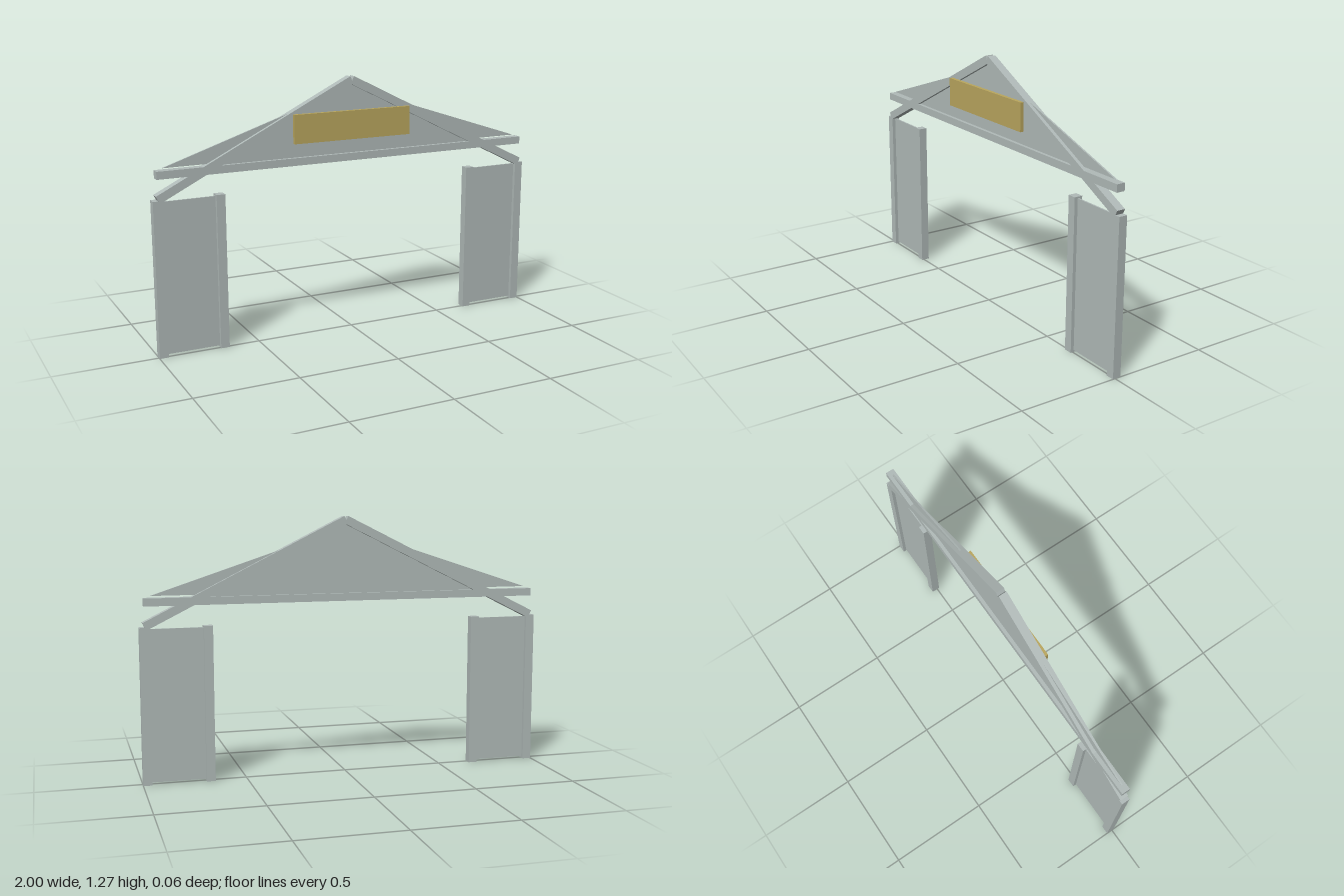
import * as THREE from 'three';

export function createModel() {
  const model = new THREE.Group();
  model.name = 'gableFrame';
  const steel = new THREE.MeshStandardMaterial({ color: 0xb0bab8 });
  steel.name = 'pale grey';
  const gold = new THREE.MeshStandardMaterial({ color: 0xb9a65e });
  gold.name = 'muted gold';

  const depth = 0.042, midZ = -0.009, thin = 0.008;

  function add(name, geometry, material, x, y, z) {
    const mesh = new THREE.Mesh(geometry, material);
    mesh.name = name;
    mesh.position.set(x, y, z);
    model.add(mesh);
    return mesh;
  }
  // Box given by its x and y limits
  function bar(name, x0, x1, y0, y1, d = depth, material = steel, z = midZ) {
    return add(name, new THREE.BoxGeometry(x1 - x0, y1 - y0, d), material, (x0 + x1) / 2, (y0 + y1) / 2, z);
  }
  // Thin flat plate from outline points
  function plate(name, points) {
    const shape = new THREE.Shape(points.map(([x, y]) => new THREE.Vector2(x, y)));
    const geometry = new THREE.ExtrudeGeometry(shape, { depth: thin, bevelEnabled: false });
    return add(name, geometry, steel, 0, 0, midZ - thin / 2);
  }

  const slope = Math.atan(0.5), length = 1.09, width = 0.04;
  for (const s of [-1, 1]) {
    const side = s > 0 ? 'left' : 'right';
    const span = (name, a, b, y0, y1, d) => bar(side + name, Math.min(s * a, s * b), Math.max(s * a, s * b), y0, y1, d);

    // Side wall: two posts with a recessed panel
    span('OuterPost', 0.957, 1, 0, 0.755);
    span('InnerPost', 0.655, 0.698, 0, 0.755);
    span('WallPanel', 0.69, 0.965, 0.01, 0.747, thin);

    // Sloping rafter with square-cut ends, leaving a notch at the peak
    const cx = 0.4975 + Math.sin(slope) * -width / 2;
    const cy = 1.0215 - Math.cos(slope) * width / 2;
    const rafter = add(side + 'Rafter', new THREE.BoxGeometry(length, width, depth), steel, s * cx, cy, midZ);
    rafter.rotation.z = -s * slope;

    // Outer wing panel above the eaves
    plate(side + 'WingPanel', [[s * 0.945, 0.902], [s * 0.32, 1.108], [s * 0.3, 1.095], [s * 0.68, 0.902]]);
  }

  // Tie beam and gable infill
  bar('tieBeam', -0.978, 0.978, 0.855, 0.892);
  plate('gablePanel', [[-0.67, 0.89], [0.67, 0.89], [0, 1.226]]);

  // Plain board on the front of the gable
  bar('signBoard', -0.31, 0.306, 0.963, 1.103, 0.018, gold, 0.021);

  return model;
}
